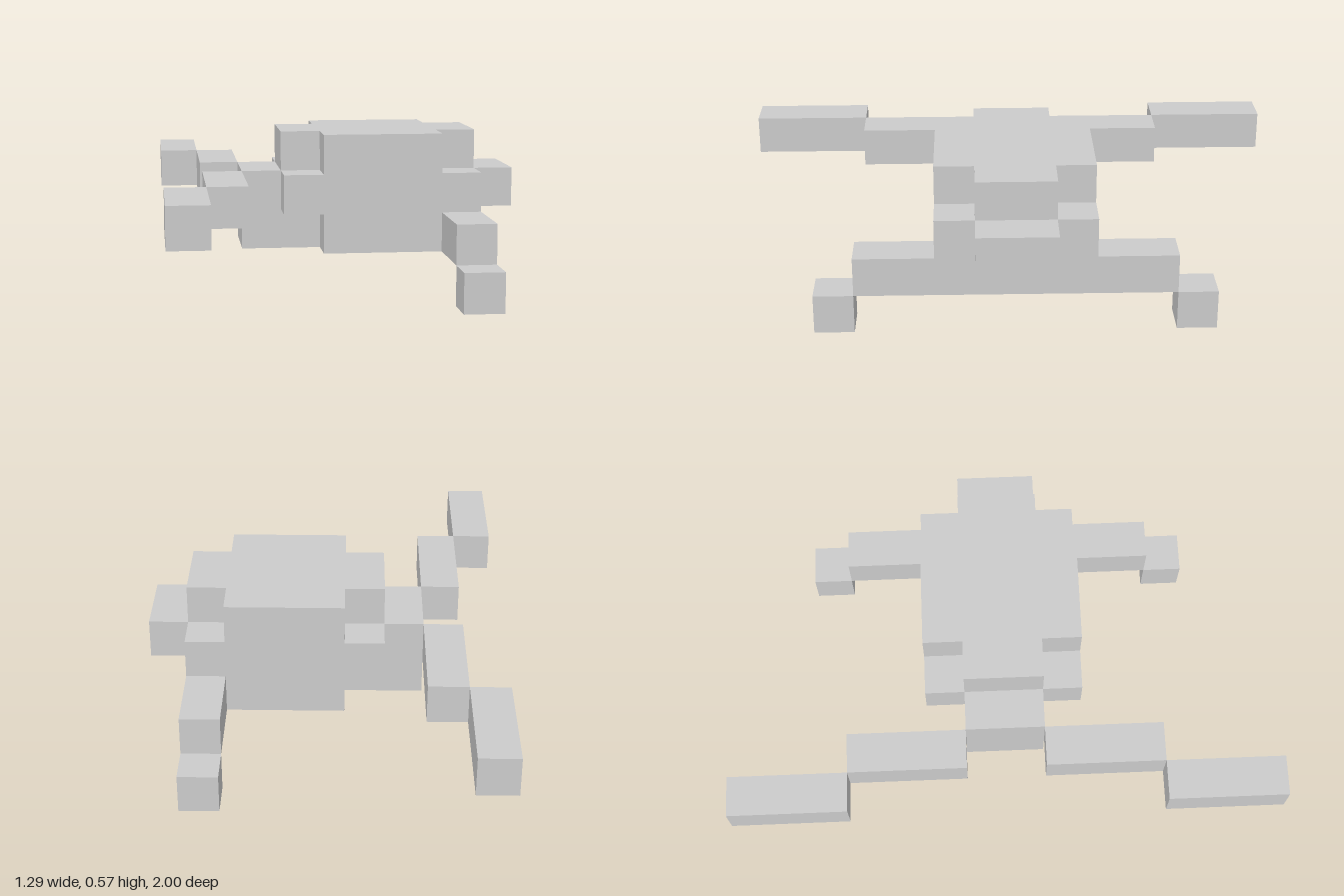
import * as THREE from 'three';

const U = 1 / 7; // edge of one block

export function createModel() {
  const model = new THREE.Group();
  model.name = 'blockCreature';
  const material = new THREE.MeshStandardMaterial({ color: 0xcccccc, flatShading: true });

  // Box between two corners, measured in blocks
  function block(name, [x0, x1], [y0, y1], [z0, z1], parent = model) {
    const mesh = new THREE.Mesh(
      new THREE.BoxGeometry((x1 - x0) * U, (y1 - y0) * U, (z1 - z0) * U), material);
    mesh.position.set((x0 + x1) * U / 2, (y0 + y1) * U / 2, (z0 + z1) * U / 2);
    mesh.name = name;
    parent.add(mesh);
  }

  // Body: wide middle layer, notched top layer and narrower belly
  const body = new THREE.Group();
  body.name = 'body';
  model.add(body);
  block('bodyMiddle', [-1.5, 3.5], [2, 3], [-2, 2], body);
  block('bodyTop', [-0.5, 2.5], [3, 4], [-2, 2], body);
  block('bodyTopTailEnd', [-1.5, -0.5], [3, 4], [-1, 1], body);
  block('bodyTopHeadEnd', [2.5, 3.5], [3, 4], [-1, 1], body);
  block('belly', [-0.5, 2.5], [1, 2], [-2, 2], body);

  // Head at +x, rump at -x
  block('head', [3.5, 4.5], [2, 3], [-1, 1]);
  block('rumpLower', [-2.5, -0.5], [1, 2], [-1, 1]);
  block('rumpUpper', [-2.5, -1.5], [2, 3], [-1, 1]);

  // Beam under the head end that carries both short legs
  block('shortLegBeam', [2.5, 3.5], [1, 2], [-4, 4]);

  // Feet and two-step long legs, mirrored in z
  for (const [side, s] of [['front', 1], ['back', -1]]) {
    const span = (a, b) => (s > 0 ? [a, b] : [-b, -a]);
    block(`${side}Foot`, [2.5, 3.5], [0, 1], span(4, 5));
    block(`${side}LongLegInner`, [-3.5, -2.5], [2, 3], span(1, 4));
    block(`${side}LongLegOuter`, [-4.5, -3.5], [2, 3], span(4, 7));
  }
  return model;
}
